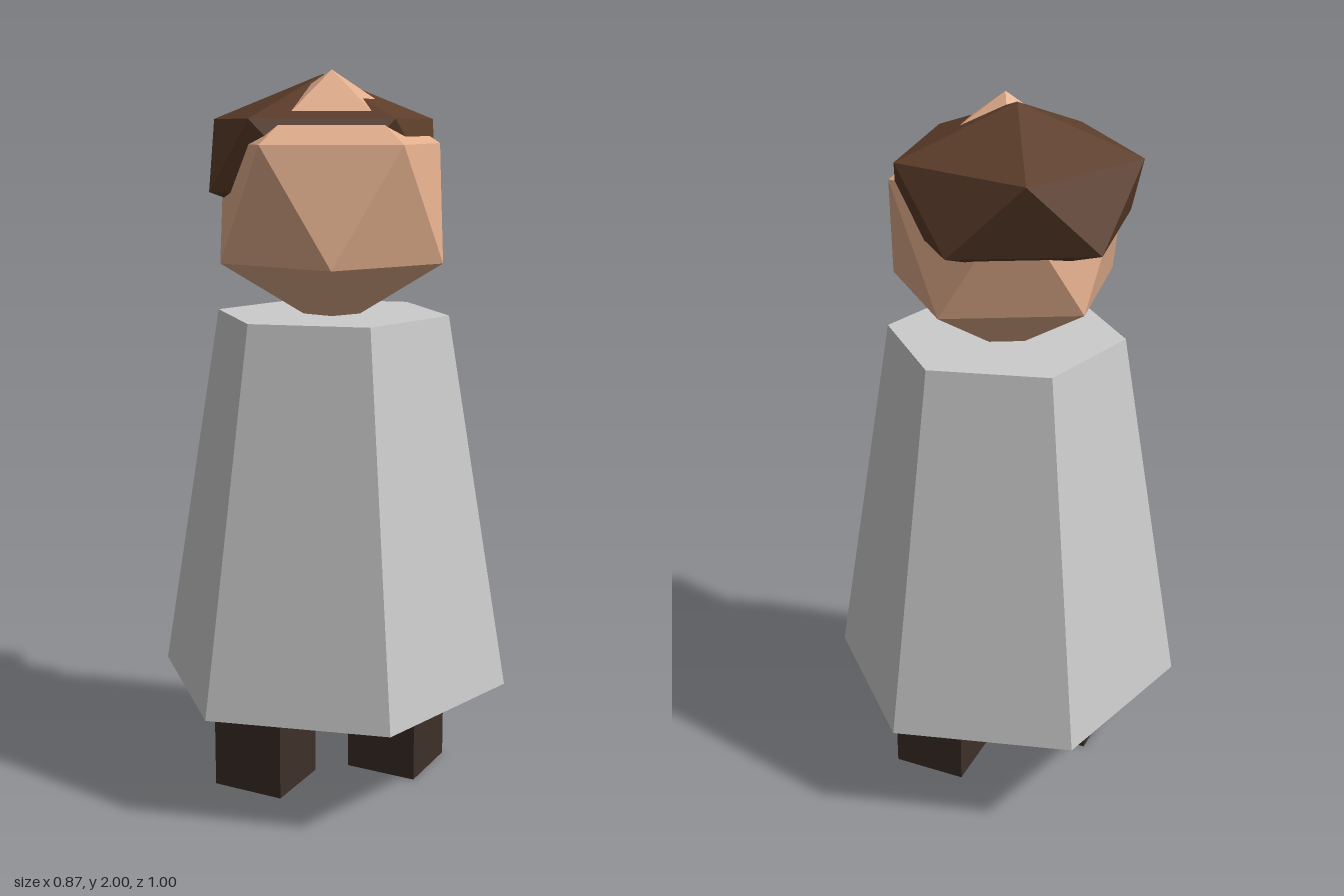
import * as THREE from 'three';
import { ConvexGeometry } from 'three/addons/geometries/ConvexGeometry.js';

const paint = (color) => new THREE.MeshStandardMaterial({ color, flatShading: true });

// Icosahedron standing on a vertex: two poles and two staggered rings of five.
function poleIcosahedron(radius) {
  const ringY = radius / Math.sqrt(5);
  const ringR = 2 * ringY;
  const points = [new THREE.Vector3(0, radius, 0), new THREE.Vector3(0, -radius, 0)];
  for (let i = 0; i < 5; i++) {
    const a = (i * Math.PI * 2) / 5;
    const x = ringR * Math.cos(a);
    const z = ringR * Math.sin(a);
    points.push(new THREE.Vector3(x, ringY, z), new THREE.Vector3(-x, -ringY, -z));
  }
  return new ConvexGeometry(points);
}

export function createModel() {
  const model = new THREE.Group();

  function add(name, geometry, material, x, y, z) {
    const mesh = new THREE.Mesh(geometry, material);
    mesh.name = name;
    mesh.position.set(x, y, z);
    model.add(mesh);
    return mesh;
  }

  // Six-sided tapered robe
  const hem = 0.305;
  const collar = 1.35;
  add('robe', new THREE.CylinderGeometry(0.325, 0.5, collar - hem, 6),
    paint(0xcccccc), 0, (hem + collar) / 2, 0);

  // Four-sided legs, corner facing forward
  const legGeometry = new THREE.CylinderGeometry(0.15, 0.15, hem, 4);
  const legMaterial = paint(0x3e2f28);
  for (const side of [-1, 1]) {
    add(side > 0 ? 'leftLeg' : 'rightLeg', legGeometry, legMaterial, side * 0.2, hem / 2, 0);
  }

  // Faceted head, its lower tip sunk into the robe
  add('head', poleIcosahedron(0.35), paint(0xe0ac8b), 0, 1.65, 0);

  // Flattened hair cap, pushed back so the face and crown show through
  add('hair', poleIcosahedron(0.36).scale(1, 0.6, 1), paint(0x5c3d2a), 0, 1.775, -0.08);

  return model;
}
